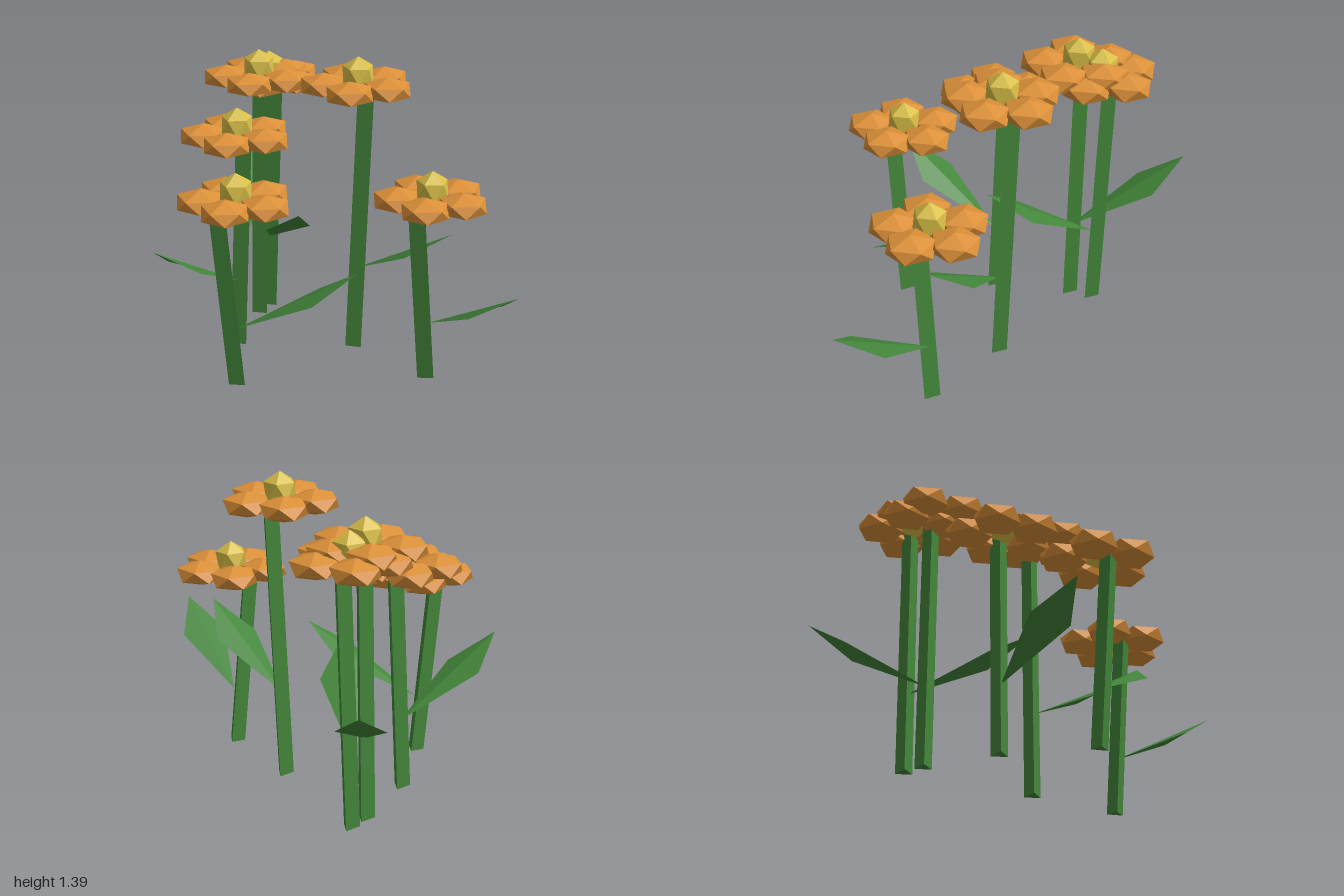
import * as THREE from 'three';

const mat = (name, color) => {
  const m = new THREE.MeshStandardMaterial({ color });
  m.name = name;
  return m;
};

// Low-poly ball with one vertex pointing straight up
function facetedBall(radius, heightScale) {
  const g = new THREE.IcosahedronGeometry(radius, 0);
  g.rotateX(-Math.atan((1 + Math.sqrt(5)) / 2));
  g.scale(1, heightScale, 1);
  g.computeVertexNormals();
  return g;
}

// Pointed leaf along +x, widest at two thirds, folded along its midrib
function leafGeometry() {
  const base = [0, 0, 0], tip = [0.525, 0.298, 0];
  const near = [0.345, 0.172, 0.104], far = [0.345, 0.172, -0.104];
  const g = new THREE.BufferGeometry();
  g.setAttribute('position', new THREE.Float32BufferAttribute(
    [...base, ...near, ...tip, ...base, ...tip, ...far], 3));
  g.computeVertexNormals();
  return g;
}

// x, z: position; h: height of the petals; lean: sideways slope of the stem;
// leaf: horizontal direction of the leaf
const FLOWERS = [
  { x: -0.34, z: 0.0, h: 0.86, lean: -0.11, leaf: [0.35, 0.39] },
  { x: -0.088, z: -0.33, h: 1.018, lean: 0.045, leaf: [-0.52, 0.085] },
  { x: 0.198, z: -0.545, h: 1.19, lean: 0.013, leaf: [0.262, -0.455] },
  { x: 0.293, z: -0.593, h: 1.157, lean: 0.037, leaf: [-0.208, 0.485] },
  { x: 0.31, z: 0.025, h: 1.26, lean: 0.045, leaf: [0.11, 0.515] },
  { x: 0.357, z: 0.468, h: 0.845, lean: -0.1, leaf: [0.01, 0.525] },
];

export function createModel() {
  const model = new THREE.Group();
  model.name = 'flowerCluster';

  const green = mat('stemGreen', 0x43863a);
  green.side = THREE.DoubleSide;
  const orange = mat('petalOrange', 0xdc9038);
  const yellow = mat('centreYellow', 0xd8be46);
  for (const m of [green, orange, yellow]) m.flatShading = true;

  const petalGeo = facetedBall(0.115, 0.49);
  const centreGeo = facetedBall(0.078, 1.05);
  const leafGeo = leafGeometry();

  const add = (parent, name, geo, material, x, y, z) => {
    const mesh = new THREE.Mesh(geo, material);
    mesh.name = name;
    mesh.position.set(x, y, z);
    parent.add(mesh);
    return mesh;
  };

  for (const f of FLOWERS) {
    const flower = new THREE.Group();
    flower.name = 'flower';
    flower.position.set(f.x, 0, f.z);
    model.add(flower);

    // Three-sided stem leaning from its foot
    const stemGeo = new THREE.CylinderGeometry(0.042, 0.042, f.h, 3);
    stemGeo.rotateY(0.18);
    stemGeo.translate(0, f.h / 2, 0);
    const stem = add(flower, 'stem', stemGeo, green, -0.003, 0.004, 0);
    stem.rotation.z = -Math.atan(f.lean);

    // One leaf a third of the way up
    const leaf = add(flower, 'leaf', leafGeo, green, 0, f.h * 0.31, 0);
    leaf.rotation.y = Math.atan2(-f.leaf[1], f.leaf[0]);

    // Ring of five petals around the centre
    const head = new THREE.Group();
    head.name = 'flowerHead';
    head.position.y = f.h;
    flower.add(head);
    for (let i = 0; i < 5; i++) {
      const a = (i / 5) * Math.PI * 2;
      const petal = add(head, 'petal', petalGeo, orange, 0.15 * Math.cos(a), 0, -0.15 * Math.sin(a));
      petal.rotation.y = a;
    }
    add(head, 'flowerCentre', centreGeo, yellow, 0, 0.046, 0);
  }
  return model;
}
